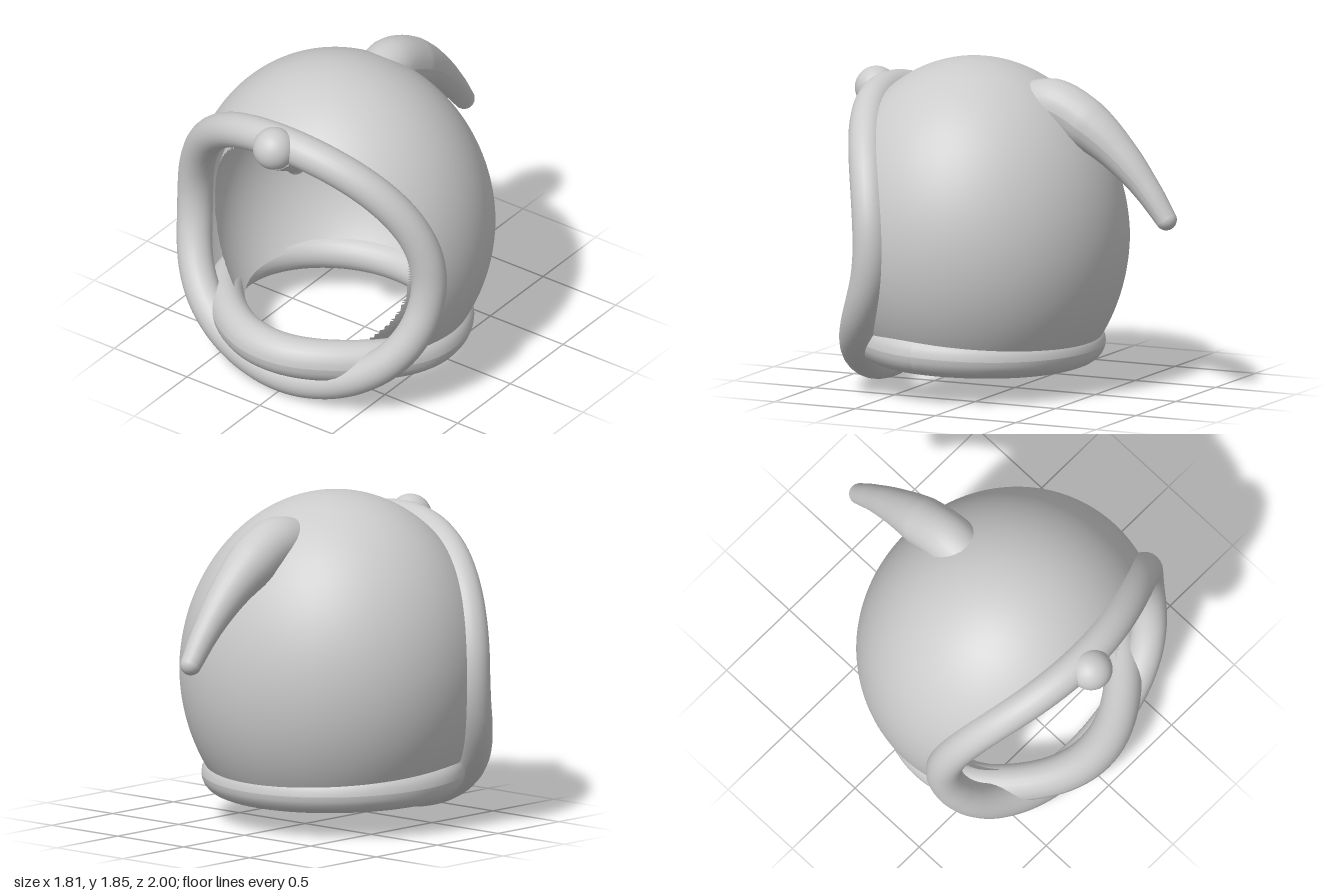
import * as THREE from 'three';

const material = new THREE.MeshStandardMaterial({ color: 0xcccccc, side: THREE.DoubleSide });
const V = (x, y, z) => new THREE.Vector3(x, y, z);

function add(group, geometry, name) {
  const mesh = new THREE.Mesh(geometry, material);
  mesh.name = name;
  group.add(mesh);
  return mesh;
}

// Depth of the curved face opening at a given height
const rimZ = (y) => 0.5 + 0.29 * ((y - 0.86) / 0.77) ** 2;

// Ellipsoid shell, open at the neck and in front of the rim
function shell(scale, drop) {
  const ry = 0.99 * scale;
  const geometry = new THREE.SphereGeometry(1, 160, 110, 0, Math.PI * 2, 0, Math.acos(-drop / ry));
  geometry.scale(0.87 * scale, ry, 0.83 * scale).translate(0, 0.855, 0.22);
  const p = geometry.attributes.position;
  // Crown leans slightly forward
  for (let i = 0; i < p.count; i++) p.setZ(i, p.getZ(i) + 0.04 * Math.max(0, p.getY(i) - 0.85));
  const index = geometry.index.array;
  const kept = [];
  for (let i = 0; i < index.length; i += 3) {
    const tri = [index[i], index[i + 1], index[i + 2]];
    const y = tri.reduce((s, k) => s + p.getY(k), 0) / 3;
    const z = tri.reduce((s, k) => s + p.getZ(k), 0) / 3;
    if (y > 1.62 || z < rimZ(y)) kept.push(...tri);
  }
  geometry.setIndex(kept);
  return geometry;
}

// Tube along a curve whose radius runs through a list of values
function taperedTube(points, radii) {
  const curve = new THREE.CatmullRomCurve3(points);
  const steps = 40, sides = 24;
  const geometry = new THREE.TubeGeometry(curve, steps, 1, sides);
  const p = geometry.attributes.position;
  const v = V(0, 0, 0);
  for (let i = 0; i <= steps; i++) {
    const centre = curve.getPointAt(i / steps);
    const f = (i / steps) * (radii.length - 1);
    const k = Math.min(Math.floor(f), radii.length - 2);
    const r = THREE.MathUtils.lerp(radii[k], radii[k + 1], f - k);
    for (let j = 0; j <= sides; j++) {
      const n = i * (sides + 1) + j;
      v.fromBufferAttribute(p, n).sub(centre).multiplyScalar(r).add(centre);
      p.setXYZ(n, v.x, v.y, v.z);
    }
  }
  geometry.computeVertexNormals();
  return geometry;
}

export function createModel() {
  const model = new THREE.Group();
  model.name = 'helmet';

  // Dome with an inner wall
  add(model, shell(1, 0.6), 'outerShell');
  add(model, shell(0.84, 0.55), 'innerShell');

  // Rolled rim around the face opening, bowed back at the sides, fuller at the lower corners
  const loop = [];
  for (let i = 0; i < 32; i++) {
    const t = (i / 32) * Math.PI * 2;
    const c = Math.cos(t), s = Math.sin(t);
    const y = 0.86 + 0.765 * s;
    const corner = s < 0 ? (2 * s * c) ** 2 : 0;
    loop.push(V(0.805 * c * (1 + 0.06 * corner), y, rimZ(y) + 0.04 * corner));
  }
  add(model, new THREE.TubeGeometry(new THREE.CatmullRomCurve3(loop, true), 128, 0.1, 24, true), 'faceRim');

  // Neck collar, rising and thickening toward the front, drawn in behind the rim
  const collar = new THREE.TorusGeometry(1, 0.1, 24, 96).rotateX(Math.PI / 2);
  const p = collar.attributes.position;
  for (let i = 0; i < p.count; i++) {
    const d = Math.hypot(p.getX(i), p.getZ(i));
    const c = p.getX(i) / d, s = p.getZ(i) / d;
    const front = (s + 1) / 2;
    const pinch = s > 0 ? 1 - 0.06 * (2 * s * c) ** 2 : 1;
    const r = d - 1;
    p.setXYZ(i,
      c * (0.67 + r * 1.1) * pinch,
      0.235 + 0.07 * front + p.getY(i) * (1.05 + 0.15 * front),
      0.265 + s * (0.62 + r * 1.15) * pinch);
  }
  collar.computeVertexNormals();
  add(model, collar, 'neckCollar');

  // Knob on the brow with a stem tapering inward
  const knob = add(model, new THREE.SphereGeometry(0.12, 32, 24), 'browKnob');
  knob.position.set(0, 1.628, 0.862);
  add(model, taperedTube([V(0, 1.6, 0.82), V(0, 1.51, 0.72), V(0, 1.42, 0.66)], [0.12, 0.1, 0.06]), 'knobStem');
  const stemTip = add(model, new THREE.SphereGeometry(0.06, 20, 14), 'stemTip');
  stemTip.position.set(0, 1.42, 0.66);

  // Curved tail at the back
  add(model, taperedTube(
    [V(0, 1.57, 0), V(0, 1.615, -0.24), V(0, 1.505, -0.47), V(0, 1.345, -0.67), V(0, 1.17, -0.83), V(0, 1.02, -0.94)],
    [0.13, 0.147, 0.142, 0.108, 0.08, 0.06]), 'tail');
  const tailTip = add(model, new THREE.SphereGeometry(0.06, 24, 16), 'tailTip');
  tailTip.position.set(0, 1.02, -0.94);

  return model;
}
